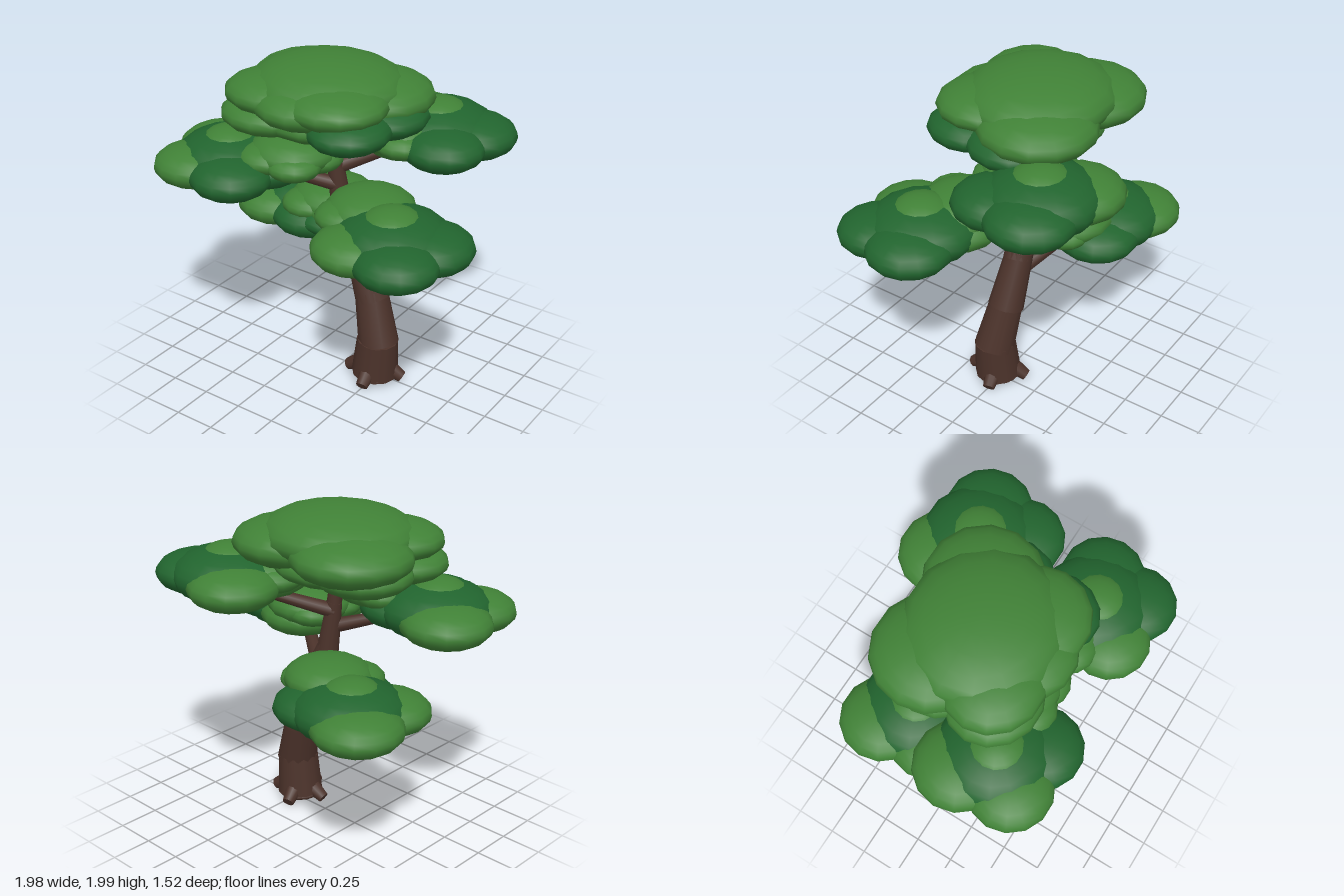
import * as THREE from 'three';

const bark = new THREE.MeshStandardMaterial({ color: 0x4b322a });
const lightLeaf = new THREE.MeshStandardMaterial({ color: 0x408136 });
const darkLeaf = new THREE.MeshStandardMaterial({ color: 0x21642e });
bark.name = 'brown bark';
lightLeaf.name = 'light green leaves';
darkLeaf.name = 'dark green leaves';

const blobGeometry = new THREE.SphereGeometry(1, 14, 12);

// Tapered round limb between two points
function limb(name, a, b, r1, r2, spin = 0, sides = 12) {
  const from = new THREE.Vector3(...a), to = new THREE.Vector3(...b);
  const dir = to.clone().sub(from);
  const geo = new THREE.CylinderGeometry(r2, r1, dir.length(), sides);
  geo.rotateY(spin);
  const mesh = new THREE.Mesh(geo, bark);
  mesh.name = name;
  mesh.position.copy(from).add(to).multiplyScalar(0.5);
  mesh.quaternion.setFromUnitVectors(new THREE.Vector3(0, 1, 0), dir.normalize());
  return mesh;
}

// Stretched sphere
function blob(name, material, x, y, z, rx, ry, rz) {
  const mesh = new THREE.Mesh(blobGeometry, material);
  mesh.name = name;
  mesh.position.set(x, y, z);
  mesh.scale.set(rx, ry, rz);
  return mesh;
}

// Group of flattened leaf blobs: [material, x, y, z, radius x, radius y, radius z]
function foliage(name, centre, blobs) {
  const group = new THREE.Group();
  group.name = name;
  group.position.set(...centre);
  blobs.forEach((spec, i) => group.add(blob('leafBlob' + (i + 1), ...spec)));
  return group;
}

const L = lightLeaf, D = darkLeaf;

// Outer pad: dark heart, light crown, light lobes to one side and dark to the other
const outerPad = [
  [D, 0, 0, -0.01, 0.335, 0.165, 0.335],
  [L, 0, 0.088, 0, 0.18, 0.1, 0.18],
  [L, -0.165, -0.015, -0.13, 0.265, 0.125, 0.265],
  [D, 0.2, -0.015, -0.065, 0.25, 0.125, 0.255],
  [D, 0.15, -0.02, 0.19, 0.24, 0.12, 0.24],
  [L, -0.13, -0.02, 0.17, 0.245, 0.12, 0.24],
];

// Smaller pad close to the trunk
const innerPad = [
  [L, 0, 0, 0, 0.26, 0.12, 0.26],
  [L, -0.1, -0.015, -0.07, 0.17, 0.085, 0.17],
  [L, 0.13, -0.03, -0.05, 0.15, 0.08, 0.15],
  [L, 0.09, -0.03, 0.12, 0.16, 0.08, 0.16],
  [L, -0.09, -0.02, 0.13, 0.17, 0.085, 0.17],
];

// Crown: broad light upper layer over a light and dark lower layer
const crown = [
  [L, 0, 0.15, -0.02, 0.47, 0.17, 0.44],
  [L, -0.24, 0.1, -0.18, 0.345, 0.14, 0.345],
  [L, 0.23, 0.1, -0.16, 0.345, 0.14, 0.345],
  [L, 0.2, 0.135, 0.19, 0.3, 0.115, 0.29],
  [L, -0.22, 0.13, 0.18, 0.3, 0.115, 0.28],
  [L, 0.02, 0.11, 0.21, 0.3, 0.12, 0.3],
  [L, 0, -0.01, 0, 0.42, 0.12, 0.4],
  [L, -0.27, 0, -0.12, 0.28, 0.11, 0.28],
  [D, 0.3, 0.02, -0.08, 0.3, 0.115, 0.29],
  [D, 0.32, 0.02, 0.23, 0.23, 0.105, 0.25],
  [L, -0.25, 0, 0.2, 0.29, 0.11, 0.27],
];

export function createModel() {
  const tree = new THREE.Group();
  tree.name = 'tree';

  // Leaning trunk in overlapping sections, with a rounded foot
  [
    [[0.242, 0.05, 0.025], [0.262, 0.295, 0.03], 0.142, 0.125],
    [[0.27, 0.265, 0.03], [0.185, 0.59, -0.01], 0.124, 0.1],
    [[0.2, 0.54, -0.008], [0.075, 0.88, -0.025], 0.108, 0.083],
    [[0.09, 0.84, -0.02], [-0.03, 1.14, -0.002], 0.088, 0.058],
    [[-0.025, 1.1, -0.002], [-0.06, 1.4, 0.015], 0.065, 0.046],
    [[-0.055, 1.36, 0.015], [-0.08, 1.66, 0.025], 0.047, 0.03],
  ].forEach(([a, b, r1, r2], i) => tree.add(limb('trunkSection' + (i + 1), a, b, r1, r2, i * 0.26)));
  tree.add(blob('trunkFoot', bark, 0.242, 0.052, 0.025, 0.14, 0.042, 0.14));

  // Stubby roots around the foot
  [0.14, 1.83, 3.45, 4.85].forEach((t, i) => {
    const at = (r, y) => [0.238 + Math.sin(t) * r, y, 0.025 + Math.cos(t) * r];
    tree.add(limb('root' + (i + 1), at(0.08, 0.1), at(0.178, 0.04), 0.054, 0.036, 0, 10));
  });

  // Branches reaching into the leaf pads
  [
    ['backRightBranch', [0.1, 0.75, -0.02], [-0.32, 0.93, -0.22], 0.055, 0.03],
    ['frontLeftBranch', [0.03, 1.0, -0.02], [0.44, 1.14, 0.27], 0.05, 0.03],
    ['frontRightBranch', [-0.03, 1.24, 0.01], [-0.4, 1.36, 0.25], 0.045, 0.027],
    ['backLeftBranch', [-0.06, 1.345, 0.01], [0.33, 1.51, -0.37], 0.045, 0.027],
  ].forEach(([name, a, b, r1, r2]) => tree.add(limb(name, a, b, r1, r2, 0, 10)));

  // Four side pads, each with its inner pad, then the crown
  [
    ['frontRight', [-0.565, 1.405, 0.33], [-0.2, 1.495, 0.22]],
    ['backRight', [-0.465, 0.945, -0.28], [-0.21, 1.04, -0.19]],
    ['frontLeft', [0.535, 1.19, 0.325], [0.31, 1.26, 0.19]],
    ['backLeft', [0.39, 1.565, -0.375], [0.24, 1.59, -0.2]],
  ].forEach(([side, outer, inner]) => {
    tree.add(foliage(side + 'OuterLeaves', outer, outerPad));
    tree.add(foliage(side + 'InnerLeaves', inner, innerPad));
  });
  tree.add(foliage('darkInnerLeaves', [-0.16, 0.95, -0.08], [[D, 0, 0, 0, 0.2, 0.09, 0.2]]));
  tree.add(foliage('crownLeaves', [-0.13, 1.68, 0], crown));

  return tree;
}
